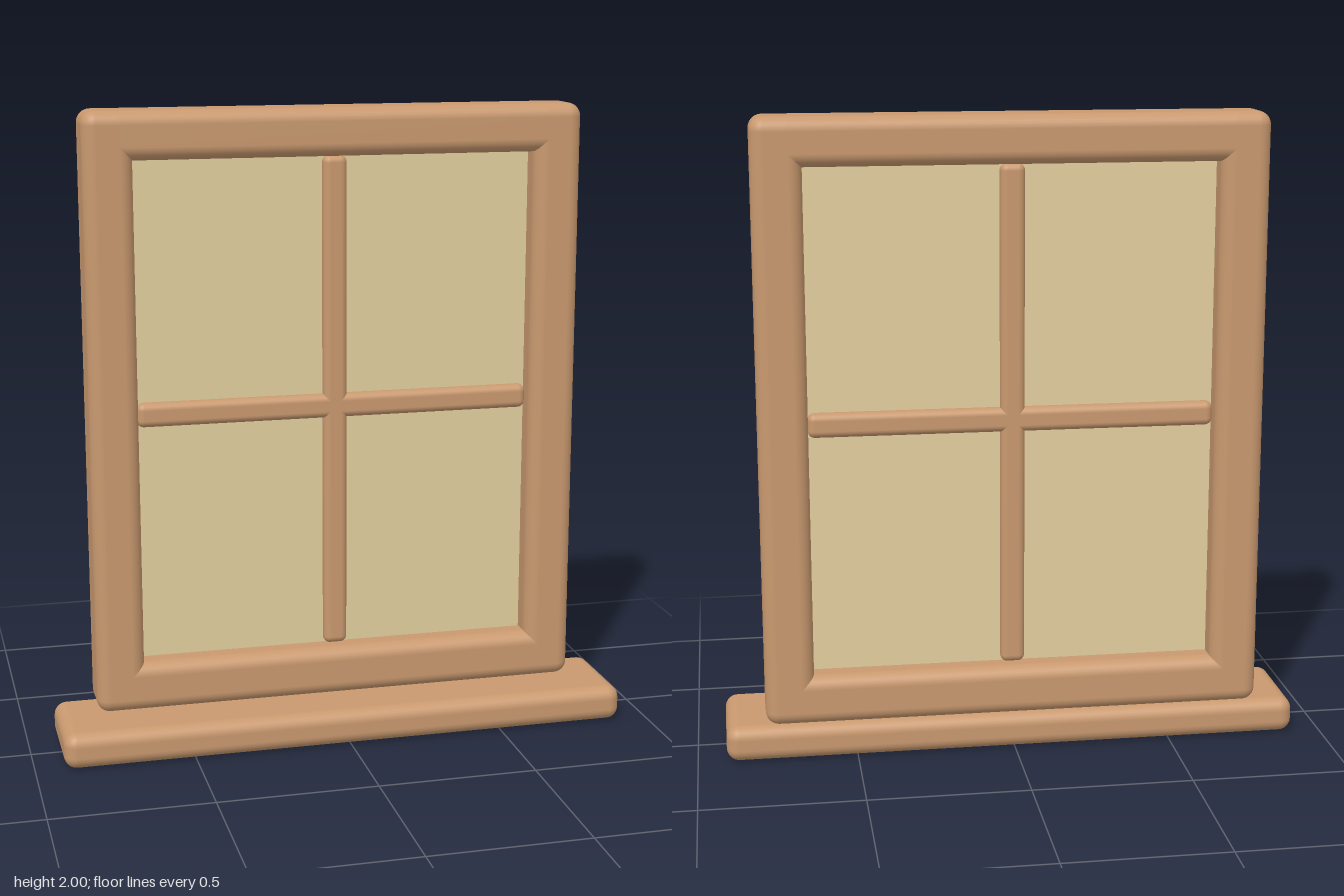
import * as THREE from 'three';
import { RoundedBoxGeometry } from 'three/addons/geometries/RoundedBoxGeometry.js';

const wood = new THREE.MeshStandardMaterial({ color: 0xc9996f });
const pane = new THREE.MeshStandardMaterial({ color: 0xe3cf9f });

// Rounded wooden board given by its extents on each axis
function board(name, [x0, x1], [y0, y1], [z0, z1], radius) {
  const geometry = new RoundedBoxGeometry(x1 - x0, y1 - y0, z1 - z0, 4, radius);
  const mesh = new THREE.Mesh(geometry, wood);
  mesh.name = name;
  mesh.position.set((x0 + x1) / 2, (y0 + y1) / 2, (z0 + z1) / 2);
  return mesh;
}

export function createModel() {
  const model = new THREE.Group();
  model.name = 'window';

  const W = 0.785, bottom = 0.113, top = 2;   // frame outline
  const w = 0.632, low = 0.27, high = 1.85;   // opening
  const depth = [-0.172, 0.012], midZ = -0.08, midY = 1.06;

  // Sill
  model.add(board('sill', [-0.91, 0.91], [0, bottom], [-0.172, 0.172], 0.04));

  // Frame: two stiles and two rails sharing the corners
  const frame = new THREE.Group();
  frame.name = 'frame';
  frame.add(
    board('leftStile', [w, W], [bottom, top], depth, 0.042),
    board('rightStile', [-W, -w], [bottom, top], depth, 0.042),
    board('topRail', [-W, W], [high, top], depth, 0.042),
    board('bottomRail', [-W, W], [bottom, low], depth, 0.042)
  );
  model.add(frame);

  // Crossed glazing bars
  const h = 0.038, barDepth = [midZ - h, midZ + h];
  model.add(
    board('verticalBar', [-h, h], [low, high], barDepth, 0.022),
    board('horizontalBar', [-w, w], [midY - h, midY + h], barDepth, 0.022)
  );

  // Glass, tucked slightly into the frame
  const glass = new THREE.Mesh(new THREE.BoxGeometry(2 * w + 0.04, high - low + 0.04, 0.016), pane);
  glass.name = 'glass';
  glass.position.set(0, (low + high) / 2, midZ);
  model.add(glass);

  return model;
}
